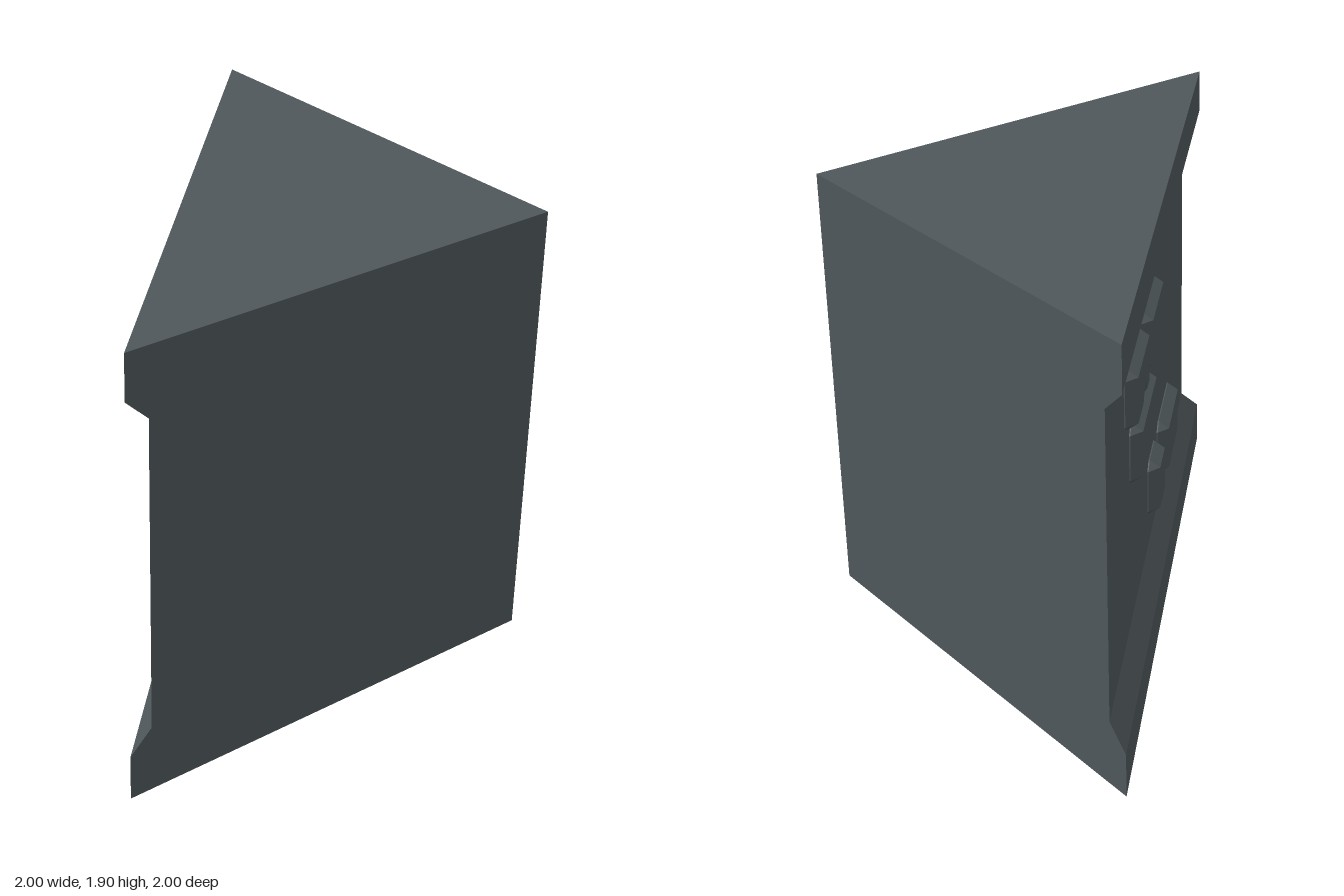
import * as THREE from 'three';
import { ConvexGeometry } from 'three/addons/geometries/ConvexGeometry.js';

const stone = new THREE.MeshStandardMaterial({ color: 0x4e575a });
stone.name = 'slate grey stone';

// Triangular wall block: one triangle per [height, inset of the diagonal face]
function wallGeometry() {
  const levels = [[0, 0], [0.195, 0], [0.29, 0.1], [1.62, 0.1], [1.715, 0], [1.905, 0]];
  const rings = levels.map(([y, w]) => [[-1 + w, y, -1], [1, y, 1 - w], [1, y, -1]]);
  const pos = [];
  const tri = (a, b, c) => pos.push(...a, ...b, ...c);
  for (let k = 0; k < rings.length - 1; k++) {
    const lo = rings[k], hi = rings[k + 1];
    for (let i = 0; i < 3; i++) {
      const j = (i + 1) % 3;
      tri(lo[i], lo[j], hi[j]);
      tri(lo[i], hi[j], hi[i]);
    }
  }
  const [bottom, top] = [rings[0], rings[rings.length - 1]];
  tri(bottom[2], bottom[1], bottom[0]);
  tri(top[0], top[1], top[2]);
  const g = new THREE.BufferGeometry();
  g.setAttribute('position', new THREE.Float32BufferAttribute(pos, 3));
  g.computeVertexNormals();
  return g;
}

// Brick measures: proud of the wall, bevel sideways and in depth, bevel in height
const PROUD = 0.05, BEVEL = 0.045, RISE = 0.032, BACK = -0.01;

// Corner points of one bevelled end; dir is -1 or 1
function endPoints(x, dir, y0, y1) {
  const pts = [];
  for (const [y, s] of [[y0, -1], [y1, 1]]) {
    pts.push([x, y, PROUD]);
    for (const z of [PROUD - BEVEL, BACK]) {
      pts.push([x, y + s * RISE, z], [x + dir * BEVEL, y, z]);
    }
  }
  return pts;
}

function hull(name, pts) {
  const mesh = new THREE.Mesh(new ConvexGeometry(pts.map(p => new THREE.Vector3(...p))), stone);
  mesh.name = name;
  return mesh;
}

function brick(x0, x1, y0, y1) {
  return hull('brick', [...endPoints(x0, -1, y0, y1), ...endPoints(x1, 1, y0, y1)]);
}

// Brick with a pointed chip out of its lower front edge, made of two halves
function chippedBrick(x0, x1, y0, y1) {
  const group = new THREE.Group();
  group.name = 'chippedBrick';
  const mid = -0.558, depth = 0.037;
  const seam = [
    [mid, y0 + 0.07, PROUD], [mid, y0 - RISE * depth / BEVEL, PROUD - depth],
    [mid, y0 - RISE, PROUD - BEVEL], [mid, y0 - RISE, BACK],
    [mid, y1, PROUD], [mid, y1 + RISE, PROUD - BEVEL], [mid, y1 + RISE, BACK],
  ];
  group.add(hull('leftHalf', [...endPoints(x0, -1, y0, y1), ...seam, [-0.626, y0, PROUD]]));
  group.add(hull('rightHalf', [...endPoints(x1, 1, y0, y1), ...seam, [-0.497, y0, PROUD]]));
  return group;
}

export function createModel() {
  const model = new THREE.Group();
  model.name = 'diagonalWallCorner';

  const wall = new THREE.Mesh(wallGeometry(), stone);
  wall.name = 'wall';
  model.add(wall);

  // Bricks lie in the plane of the diagonal face: local x along it, z outward
  const bricks = new THREE.Group();
  bricks.name = 'bricks';
  bricks.position.set(0.05, 0, -0.05);
  bricks.rotation.y = -Math.PI / 4;
  bricks.add(chippedBrick(-0.785, -0.421, 1.267, 1.46));
  for (const b of [
    [-0.286, 0.078, 1.267, 1.46],
    [-0.642, -0.18, 0.957, 1.155],
    [-0.044, 0.13, 0.465, 0.658],
    [0.304, 0.675, 0.465, 0.658],
  ]) bricks.add(brick(...b));
  model.add(bricks);
  return model;
}
